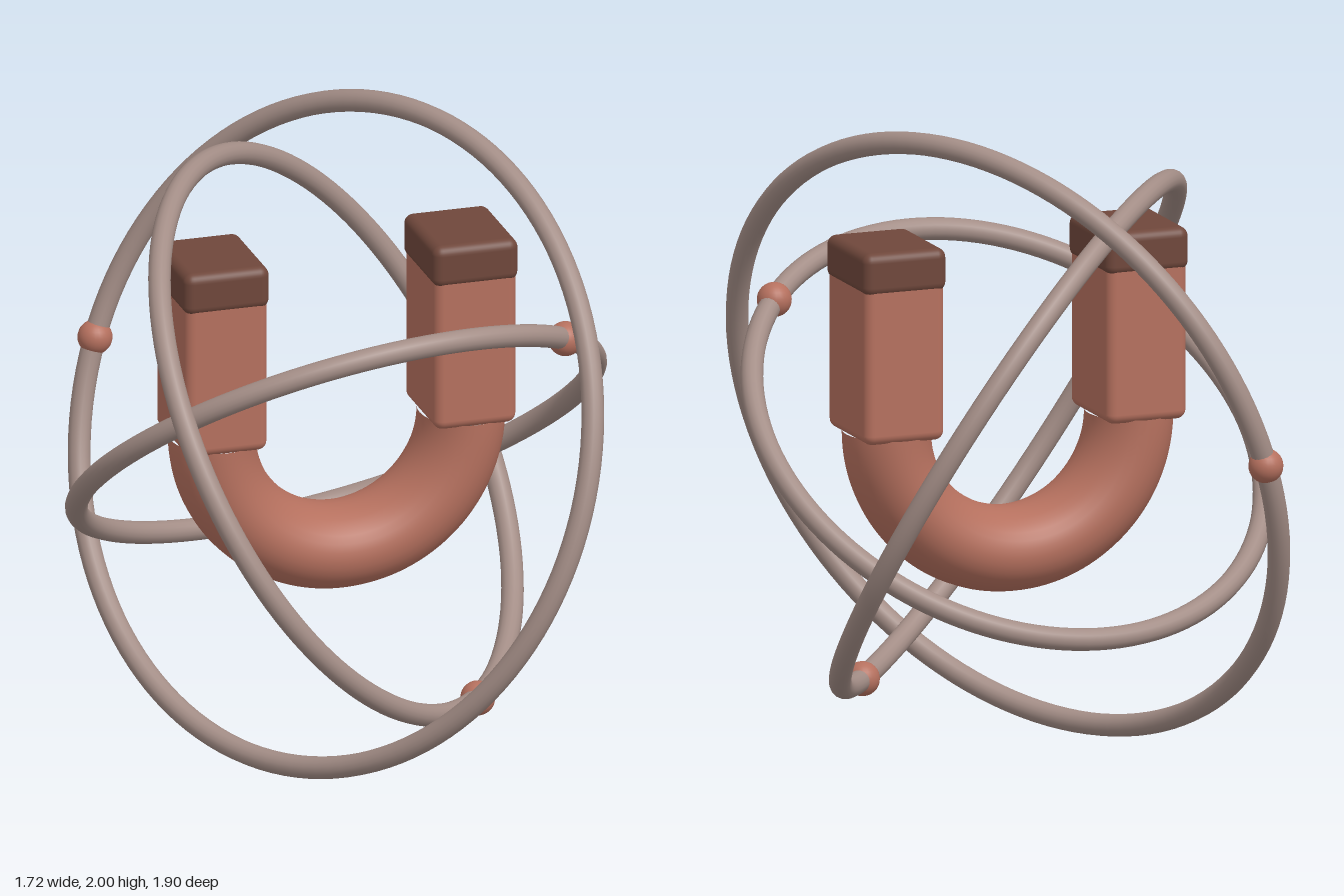
import * as THREE from 'three';
import { RoundedBoxGeometry } from 'three/addons/geometries/RoundedBoxGeometry.js';

const mat = (name, color) => {
  const m = new THREE.MeshStandardMaterial({ color });
  m.name = name;
  return m;
};

export function createModel() {
  const group = new THREE.Group();
  const clay = mat('terracotta', 0xb5705e);
  const dark = mat('dark brown', 0x6f473b);
  const taupe = mat('taupe', 0xa38d86);

  const add = (name, geometry, material, x, y, z) => {
    const mesh = new THREE.Mesh(geometry, material);
    mesh.name = name;
    mesh.position.set(x, y, z);
    group.add(mesh);
    return mesh;
  };

  // Horseshoe magnet: lower half of a torus, slightly deeper than wide
  const bend = new THREE.TorusGeometry(0.4, 0.133, 32, 64, Math.PI);
  bend.rotateZ(Math.PI);
  bend.scale(1, 1, 1.22);
  add('magnetBend', bend, clay, 0, 1.043, 0.004);

  // Straight arms with dark pole tips
  for (const [side, s] of [['left', 1], ['right', -1]]) {
    add(side + 'Arm', new RoundedBoxGeometry(0.264, 0.53, 0.326, 4, 0.03), clay, s * 0.4, 1.3, 0.004);
    add(side + 'PoleTip', new RoundedBoxGeometry(0.274, 0.136, 0.337, 4, 0.03), dark, s * 0.4, 1.571, 0.004);
  }

  // Orbit rings, each given by its radius, plane normal and bead position
  const orbits = [
    { name: 'inner', radius: 0.829, normal: [-0.1, 0.786, -0.611], bead: [0.611, 0.396, 0.398] },
    { name: 'middle', radius: 0.927, normal: [0.686, 0.504, 0.524], bead: [0.378, -0.78, 0.306] },
    { name: 'outer', radius: 1.026, normal: [0.818, -0.338, -0.466], bead: [-0.506, 0.052, -0.897] },
  ];
  for (const { name, radius, normal, bead } of orbits) {
    const n = new THREE.Vector3(...normal).normalize();
    const ring = add(name + 'Ring', new THREE.TorusGeometry(radius, 0.035, 16, 128), taupe, 0, 1, 0);
    ring.quaternion.setFromUnitVectors(new THREE.Vector3(0, 0, 1), n);
    // Drop the bead onto the ring's centre line
    const p = new THREE.Vector3(...bead).projectOnPlane(n).setLength(radius);
    add(name + 'Bead', new THREE.SphereGeometry(0.054, 24, 16), clay, p.x, p.y + 1, p.z);
  }
  return group;
}
